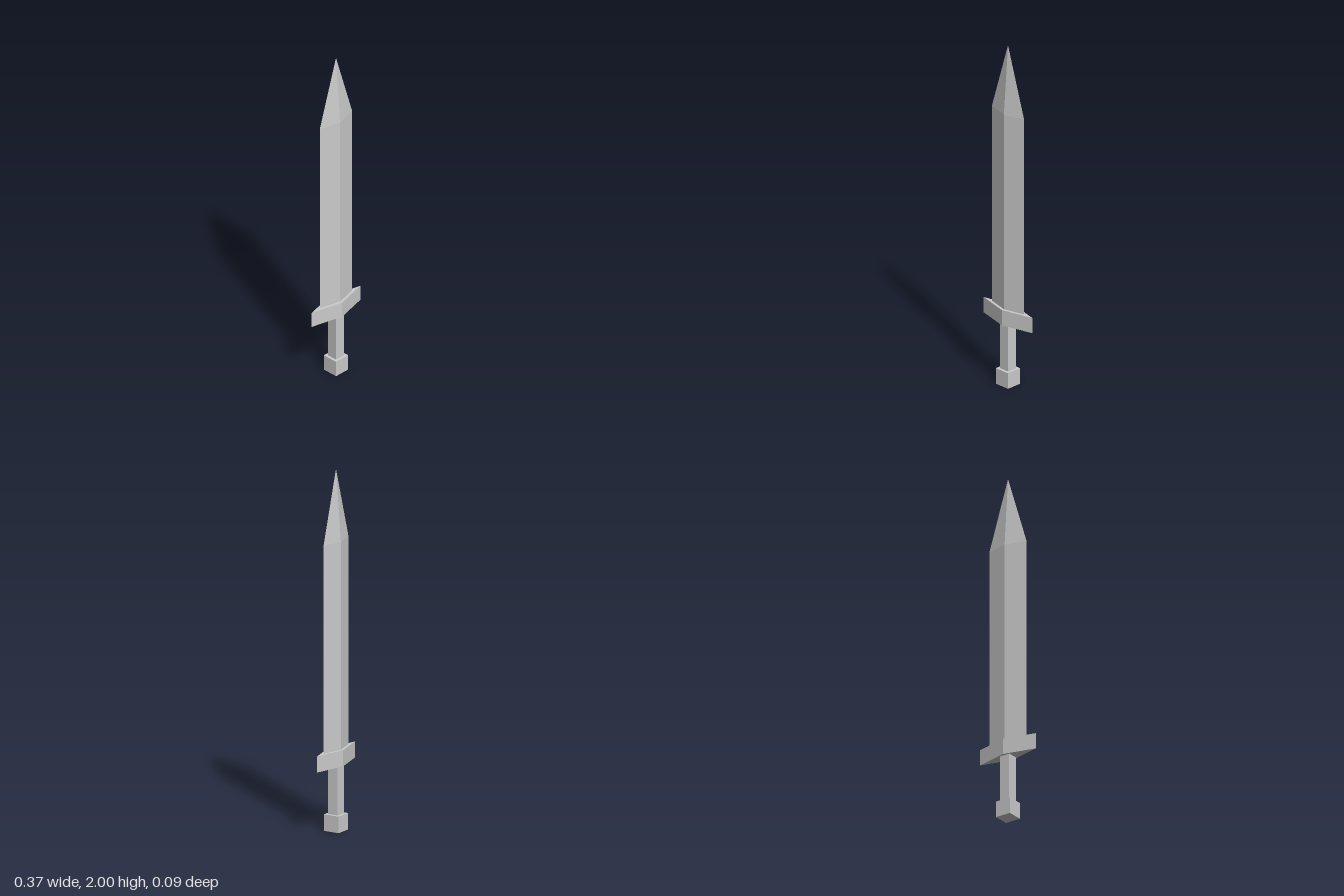
import * as THREE from 'three';

const material = new THREE.MeshStandardMaterial({ color: 0xcccccc, flatShading: true });

function place(name, geometry, bottom, height) {
  const mesh = new THREE.Mesh(geometry, material);
  mesh.name = name;
  mesh.position.y = bottom + height / 2;
  return mesh;
}

// Upright prism with a diamond section; topScale 0 brings it to a point
function diamond(name, halfWidth, halfDepth, bottom, top, topScale = 1, open = false) {
  const height = top - bottom;
  const geometry = new THREE.CylinderGeometry(topScale, 1, height, 4, 1, open);
  geometry.scale(halfWidth, 1, halfDepth);
  return place(name, geometry, bottom, height);
}

// Square upright block
function block(name, width, bottom, top) {
  const height = top - bottom;
  return place(name, new THREE.BoxGeometry(width, height, width), bottom, height);
}

export function createModel() {
  const sword = new THREE.Group();
  sword.name = 'sword';

  // Handle
  sword.add(block('pommel', 0.092, 0, 0.092));
  sword.add(block('grip', 0.061, 0.092, 0.36));
  sword.add(diamond('guard', 0.185, 0.046, 0.36, 0.45));

  // Blade with its tapering tip
  const blade = new THREE.Group();
  blade.name = 'blade';
  blade.add(diamond('bladeBody', 0.123, 0.031, 0.45, 1.6, 1, true));
  blade.add(diamond('bladeTip', 0.123, 0.031, 1.6, 2, 0, true));
  sword.add(blade);

  return sword;
}
